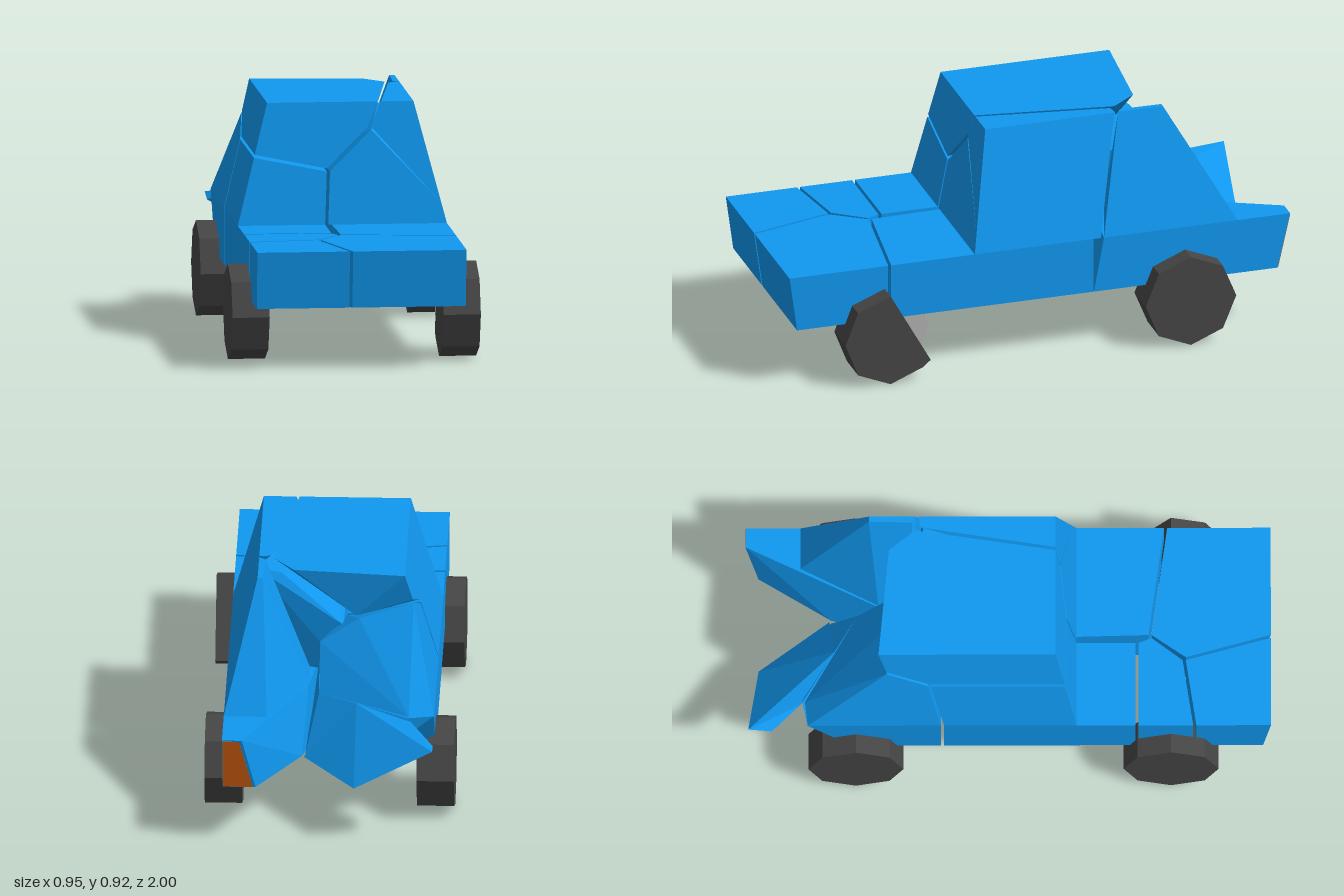
import * as THREE from 'three';
import { ConvexGeometry } from 'three/addons/geometries/ConvexGeometry.js';

const GAP = 0.006;
const paint = (color) => new THREE.MeshStandardMaterial({ color, flatShading: true });
const blue = paint(0x1097ee), rubber = paint(0x454545), metal = paint(0xb0b0b0), orange = paint(0xd06010);

// Outer shells: half width, front z and rear z at height y
const cabin = (y) => { const t = (y - 0.46) / 0.46; return { w: 0.4 - 0.12 * t, f: 0.26 - 0.08 * t, r: -0.79 + 0.26 * t }; };
const chassis = (y) => { const t = (y - 0.24) / 0.22; return { w: 0.4, f: 0.97 + 0.03 * t, r: -0.95 - 0.05 * t }; };
const S = 9; // a coordinate of +-S lies on the shell

function addHull(group, name, points, material) {
  const mesh = new THREE.Mesh(new ConvexGeometry(points), material);
  mesh.name = name;
  group.add(mesh);
}

// A convex shard: inner corners draw back by the crack gap, shell corners stay on the shell
function shard(group, name, shell, corners) {
  const fit = ([x, y, z]) => {
    const s = shell(y);
    return [Math.max(-s.w, Math.min(s.w, x)), y, Math.max(s.r, Math.min(s.f, z))];
  };
  const mid = [0, 1, 2].map((i) => corners.reduce((a, c) => a + fit(c)[i], 0) / corners.length);
  const pull = (v, m) => (Math.abs(v) === S ? v : v + Math.sign(m - v) * GAP);
  const points = corners.map(([x, y, z]) => {
    const fixed = [0.24, 0.46, 0.92].includes(y);
    return new THREE.Vector3(...fit([pull(x, mid[0]), fixed ? y : pull(y, mid[1]), pull(z, mid[2])]));
  });
  addHull(group, name, points, blue);
}

// Lower body shard from its outline in plan
const slab = (group, name, plan) =>
  shard(group, name, chassis, plan.flatMap(([x, z]) => [[x, 0.24, z], [x, 0.46, z]]));

// Hull of a wheel outline given as [z, y] between two x values
function disc(group, name, outline, x0, x1, material) {
  const points = outline.flatMap(([z, y]) => [x0, x1].map((x) => new THREE.Vector3(x, y, z)));
  addHull(group, name, points, material);
}

export function createModel() {
  const car = new THREE.Group();
  car.name = 'brokenCar';

  // Lower body, front to middle
  slab(car, 'noseRightOfCrack', [[-0.04, S], [S, S], [S, 0.6], [-0.04, 0.54], [-0.13, 0.67]]);
  slab(car, 'noseLeftOfCrack', [[-S, S], [-0.04, S], [-0.13, 0.67], [-S, 0.71]]);
  slab(car, 'fender', [[-S, 0.71], [-0.13, 0.67], [-0.04, 0.54], [-0.06, 0.49], [-S, 0.49]]);
  slab(car, 'sillA', [[-S, 0.49], [-0.06, 0.49], [-0.06, -0.25], [-S, -0.25]]);
  slab(car, 'sillB', [[-0.06, -0.25], [S, -0.22], [S, 0.6], [-0.04, 0.54]]);

  // Cabin, front pieces
  shard(car, 'windscreenLow', cabin, [
    [-S, 0.46, S], [-0.06, 0.46, S], [-0.05, 0.665, S], [-S, 0.72, S],
    [-S, 0.46, -0.25], [-0.06, 0.46, -0.25], [-0.05, 0.665, -0.3], [-S, 0.72, -0.3]]);
  shard(car, 'roof', cabin, [
    [-S, 0.72, S], [-0.05, 0.665, S], [0.11, 0.82, S], [0.15, 0.92, S], [-S, 0.92, S],
    [-S, 0.92, -0.5], [0.15, 0.92, -0.46], [0.23, 0.92, -0.36],
    [-S, 0.8, -0.47], [-0.1, 0.73, -0.47], [-S, 0.72, -0.3]]);
  shard(car, 'doorSide', cabin, [
    [-0.06, 0.46, S], [S, 0.46, S], [S, 0.53, S], [0.11, 0.82, S], [-0.05, 0.665, S],
    [-0.06, 0.46, -0.4], [S, 0.46, -0.25], [S, 0.87, -0.33], [0.2, 0.85, -0.33], [-0.05, 0.665, -0.4]]);
  shard(car, 'roofCorner', cabin, [
    [0.11, 0.82, S], [S, 0.53, S], [S, 0.92, S], [0.15, 0.92, S],
    [S, 0.87, -0.33], [S, 0.92, -0.345], [0.23, 0.92, -0.34]]);

  // Cabin, rear pieces beside the missing chunk
  shard(car, 'rearQuarterA', cabin, [
    [-S, 0.46, -0.25], [-0.06, 0.46, -0.25], [-S, 0.72, -0.3], [-0.05, 0.665, -0.3],
    [-S, 0.8, -0.47], [-0.1, 0.73, -0.47], [-S, 0.46, -0.77], [-0.31, 0.46, -0.78],
    [0.05, 0.46, -0.58], [0.05, 0.63, -0.46]]);
  shard(car, 'rearQuarterB', cabin, [
    [S, 0.46, -0.25], [S, 0.92, -0.345], [0.25, 0.92, -0.36], [S, 0.92, -S], [0.265, 0.92, -S],
    [S, 0.46, -S], [0.23, 0.46, -S], [0.08, 0.46, -0.5], [0.08, 0.46, -0.35]]);

  // Lower body, broken tail
  shard(car, 'tailB', chassis, [
    [S, 0.46, -0.25], [0.05, 0.46, -0.3], [0.08, 0.46, -0.5], [0.23, 0.46, -0.79], [0.33, 0.46, -S], [S, 0.46, -S],
    [S, 0.24, -0.21], [0.05, 0.24, -0.25], [0.05, 0.24, -0.48], [0.1, 0.24, -0.68], [0.28, 0.24, -S], [S, 0.24, -S]]);
  shard(car, 'tailA', chassis, [
    [-S, 0.46, -0.25], [0.06, 0.46, -0.25], [-S, 0.46, -0.77], [-0.31, 0.46, -0.79], [0.05, 0.46, -0.58],
    [-S, 0.24, -0.25], [0.06, 0.24, -0.25], [-S, 0.24, -0.6], [-0.1, 0.24, -0.8], [0.1, 0.24, -0.68]]);
  const v = (x, y, z) => new THREE.Vector3(x, y, z);
  addHull(car, 'tailSplinter', [
    v(-0.4, 0.42, -0.99), v(-0.4, 0.4, -0.9), v(-0.1, 0.24, -0.95), v(0.1, 0.24, -0.68),
    v(-0.31, 0.45, -0.79), v(-0.1, 0.24, -0.7), v(-0.1, 0.46, -0.66)], blue);

  // Tail light on the remaining rear face
  addHull(car, 'tailLight', [0, 0.012].flatMap((d) => [
    v(0.398, 0.455, -1.001 + d), v(0.335, 0.455, -1.001 + d),
    v(0.398, 0.242, -0.953 + d), v(0.284, 0.242, -0.953 + d)]), orange);

  // Eight-sided wheels
  const wheel = (z) => Array.from({ length: 8 }, (_, i) => {
    const a = (i * Math.PI) / 4;
    return [z + 0.181 * Math.cos(a), 0.183 + 0.183 * Math.sin(a)];
  });
  disc(car, 'frontWheel', wheel(0.62), -0.475, -0.333, rubber);
  disc(car, 'rearWheelA', wheel(-0.58), -0.475, -0.333, rubber);
  disc(car, 'rearWheelB', wheel(-0.58), 0.333, 0.475, rubber);

  // Broken front wheel with a loose rim fragment
  disc(car, 'brokenWheel', [[0.8, 0.183], [0.75, 0.313], [0.62, 0.366], [0.59, 0.24], [0.46, 0.08],
    [0.49, 0.054], [0.62, 0], [0.75, 0.054]], 0.333, 0.475, rubber);
  disc(car, 'rimFragment', [[0.585, 0.345], [0.49, 0.313], [0.44, 0.183], [0.47, 0.11], [0.58, 0.24]],
    0.335, 0.385, metal);

  return car;
}
